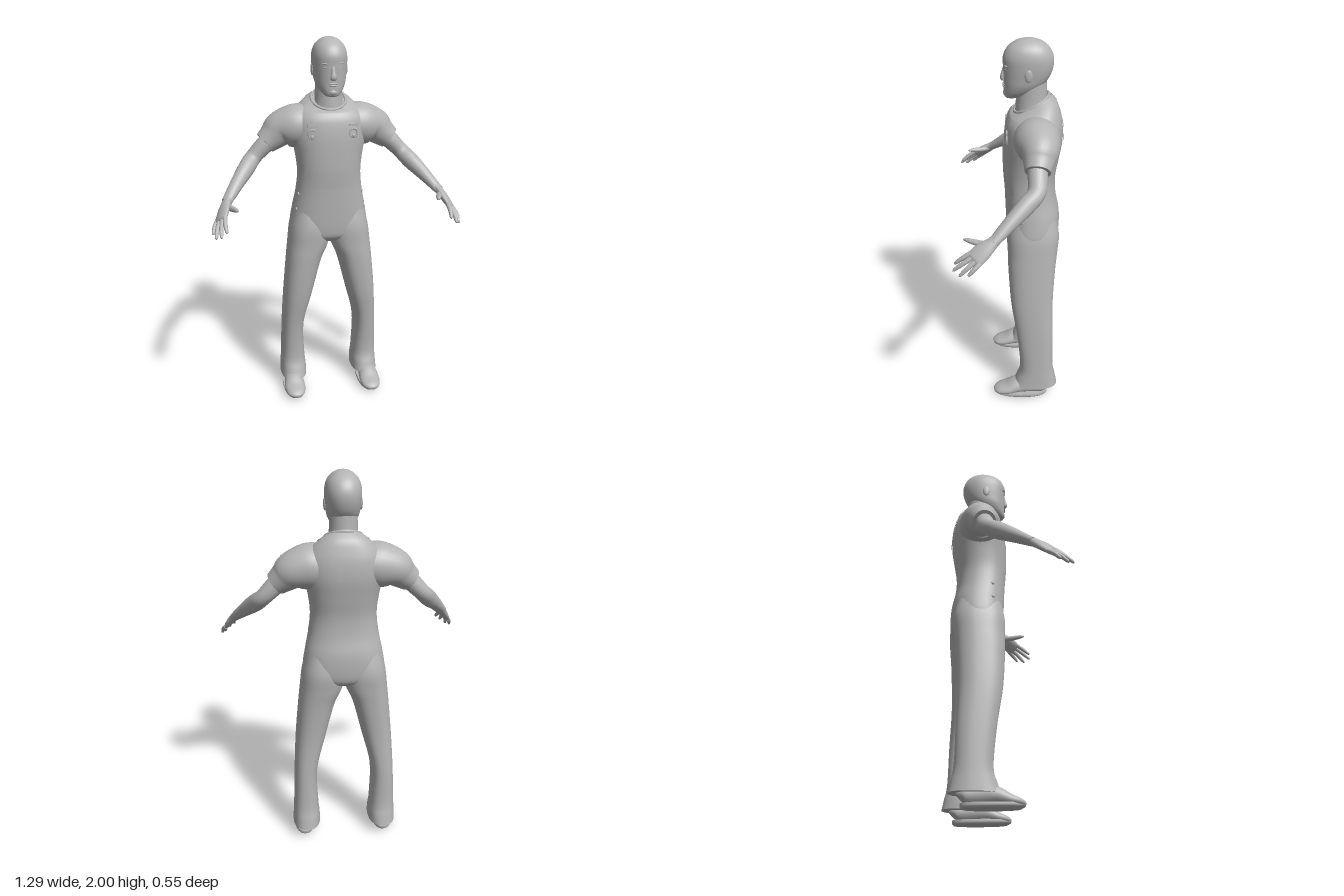
import * as THREE from 'three';

const V = (x, y, z) => new THREE.Vector3(x, y, z);
const clay = new THREE.MeshStandardMaterial({ color: 0xb4b4b4, side: THREE.DoubleSide });
clay.name = 'clayGray';

// Resample a list of cross-sections with a Catmull-Rom spline, number by number
function resample(rows, steps) {
  const out = [], n = rows.length, at = i => rows[Math.max(0, Math.min(n - 1, i))];
  for (let i = 0; i < n - 1; i++) {
    for (let k = 0; k < steps; k++) {
      const t = k / steps;
      out.push(rows[i].map((b, c) => {
        const a = at(i - 1)[c], d = at(i + 1)[c], e = at(i + 2)[c];
        return b + 0.5 * t * (d - a + t * (2 * a - 5 * b + 4 * d - e + t * (3 * (b - d) + e - a)));
      }));
    }
  }
  out.push(rows[n - 1]);
  return out;
}

// Skin closed rings of points, with flat end caps
function skin(rings) {
  const n = rings[0].length, last = rings.length - 1, pos = [], idx = [];
  const put = p => { pos.push(p.x, p.y, p.z); return pos.length / 3 - 1; };
  rings.forEach(r => r.forEach(put));
  for (let i = 0; i < last; i++) {
    for (let j = 0; j < n; j++) {
      const a = i * n + j, b = i * n + (j + 1) % n;
      idx.push(a, a + n, b, b, a + n, b + n);
    }
  }
  [0, last].forEach(i => {
    const ids = rings[i].map(put);
    const mid = put(rings[i].reduce((s, p) => s.add(p), V(0, 0, 0)).divideScalar(n));
    ids.forEach((a, j) => {
      const b = ids[(j + 1) % n];
      if (i) idx.push(mid, b, a); else idx.push(mid, a, b);
    });
  });
  return finish(pos, idx);
}

function finish(pos, idx) {
  const g = new THREE.BufferGeometry();
  g.setAttribute('position', new THREE.Float32BufferAttribute(pos, 3));
  g.setIndex(idx);
  g.computeVertexNormals();
  return g;
}

// Level rings: [y, xMin, xMax, zFront, zBack, forward dip]
function stack(rows, e = 2.3, n = 40, steps = 5) {
  const pw = v => Math.sign(v) * Math.abs(v) ** (2 / e);
  return skin(resample(rows, steps).map(([y, x0, x1, zf, zb, dip = 0]) =>
    Array.from({ length: n }, (_, j) => {
      const a = j / n * 2 * Math.PI, c = pw(Math.cos(a)), s = pw(Math.sin(a));
      return V((x0 + x1) / 2 + (x1 - x0) / 2 * c, y - dip * s, (zf + zb) / 2 + (zf - zb) / 2 * s);
    })));
}

// Rings along a path: [x, y, z, radius along ref, radius across]
function limb(rows, ref = V(0, 1, 0), n = 24, steps = 5) {
  const r = resample(rows, steps), pt = i => V(...r[Math.max(0, Math.min(r.length - 1, i))].slice(0, 3));
  return skin(r.map((s, i) => {
    const T = pt(i + 1).sub(pt(i - 1)).normalize();
    const u = ref.clone().addScaledVector(T, -ref.dot(T)).normalize(), v = u.clone().cross(T);
    return Array.from({ length: n }, (_, j) => {
      const a = j / n * 2 * Math.PI;
      return pt(i).addScaledVector(u, Math.cos(a) * s[3]).addScaledVector(v, Math.sin(a) * s[4]);
    });
  }));
}

function mirror(g) {
  const m = g.clone().scale(-1, 1, 1), ix = m.index.array;
  for (let i = 0; i < ix.length; i += 3) [ix[i], ix[i + 1]] = [ix[i + 1], ix[i]];
  return m;
}

const ball = (x, y, z, a, b, c) => new THREE.SphereGeometry(1, 20, 14).scale(a, b, c).translate(x, y, z);

export function createModel() {
  const root = new THREE.Group();
  root.name = 'workerInOveralls';
  const add = (name, g) => {
    const m = new THREE.Mesh(g, clay);
    m.name = name;
    root.add(m);
    return m;
  };
  const pair = (name, g) => [add(name + 'Left', g), add(name + 'Right', mirror(g))];

  // Torso and hips
  const body = [
    [0.92, 0.12, -0.03, -0.21], [0.95, 0.185, 0.0, -0.25], [1.0, 0.214, 0.01, -0.265],
    [1.1, 0.2, 0.016, -0.265], [1.2, 0.18, 0.02, -0.245], [1.3, 0.17, 0.025, -0.24],
    [1.4, 0.18, 0.027, -0.255], [1.5, 0.2, 0.025, -0.27], [1.58, 0.2, 0.015, -0.268],
    [1.63, 0.175, 0.0, -0.255, 0.012], [1.662, 0.135, -0.01, -0.235, 0.032], [1.685, 0.09, -0.03, -0.195, 0.044],
  ].map(([y, rx, f, b, d = 0]) => [y, -rx, rx, f, b, d]);
  const torso = add('torso', stack(body, 2.4));

  // Trouser legs
  pair('trouserLeg', stack([
    [0.07, 0.137, 0.287, -0.02, -0.27], [0.12, 0.138, 0.284, -0.04, -0.26], [0.2, 0.145, 0.28, -0.06, -0.245],
    [0.4, 0.148, 0.272, -0.042, -0.24], [0.6, 0.1, 0.26, -0.01, -0.235], [0.8, 0.048, 0.241, 0.005, -0.245],
    [0.9, 0.006, 0.23, 0.008, -0.255], [1.0, -0.005, 0.217, 0.009, -0.262], [1.1, 0.02, 0.19, -0.01, -0.24],
  ], 2.4));

  // Shoes with soles
  pair('shoe', limb([
    [0.22, 0.045, -0.212, 0.025, 0.025], [0.22, 0.055, -0.195, 0.042, 0.042], [0.22, 0.062, -0.12, 0.05, 0.046],
    [0.221, 0.06, -0.05, 0.046, 0.053], [0.222, 0.042, 0.01, 0.032, 0.058], [0.222, 0.032, 0.06, 0.022, 0.048],
    [0.222, 0.028, 0.084, 0.012, 0.026], [0.222, 0.027, 0.09, 0.003, 0.008],
  ]));
  pair('shoeSole', stack([
    [0.002, 0.168, 0.274, 0.07, -0.205, -0.004], [0.012, 0.162, 0.281, 0.087, -0.213, -0.005],
    [0.026, 0.162, 0.281, 0.09, -0.215, -0.004],
  ], 2.4));

  // Short sleeves and arms
  const sleeves = pair('sleeve', limb([
    [0.08, 1.55, -0.13, 0.1, 0.11], [0.17, 1.545, -0.133, 0.115, 0.115], [0.25, 1.527, -0.14, 0.097, 0.096],
    [0.295, 1.493, -0.134, 0.076, 0.076], [0.337, 1.46, -0.127, 0.061, 0.062],
  ], V(0, 1, 0), 32));
  pair('arm', limb([
    [0.27, 1.51, -0.13, 0.05, 0.05], [0.335, 1.455, -0.127, 0.048, 0.048], [0.402, 1.388, -0.12, 0.042, 0.045],
    [0.445, 1.342, -0.07, 0.045, 0.043], [0.497, 1.287, -0.002, 0.036, 0.036], [0.56, 1.215, 0.085, 0.022, 0.028],
  ]));

  // Hands: palm, thumb and four fingers
  const back = V(0.74, 0.64, 0.19);
  pair('palm', limb([
    [0.55, 1.228, 0.07, 0.022, 0.027], [0.562, 1.212, 0.09, 0.021, 0.03], [0.578, 1.185, 0.128, 0.02, 0.042],
    [0.595, 1.153, 0.167, 0.016, 0.044], [0.6, 1.145, 0.178, 0.008, 0.038],
  ], back));
  pair('thumb', limb([
    [0.562, 1.2, 0.1, 0.015, 0.018], [0.54, 1.2, 0.15, 0.014, 0.015], [0.52, 1.205, 0.2, 0.011, 0.011],
    [0.512, 1.206, 0.222, 0.004, 0.004],
  ], back, 14));
  const tips = [[0.572, 1.112, 0.265], [0.6, 1.09, 0.272], [0.625, 1.076, 0.242], [0.638, 1.085, 0.2]];
  tips.forEach((tip, i) => {
    const k = (i - 1.5) * 0.022, a = V(0.594 + 0.57 * k, 1.154 - 0.46 * k, 0.166 - 0.68 * k), b = V(...tip);
    const at = (t, r) => [...a.clone().lerp(b, t).addScaledVector(back, 0.02 * t * (1 - t)).toArray(), r, r];
    pair('finger' + (i + 1), limb([at(0, 0.012), at(0.5, 0.011), at(0.9, 0.008), at(1, 0.003)], back, 14));
  });

  // Neck and head
  add('neck', stack([
    [1.62, -0.085, 0.085, -0.03, -0.2], [1.7, -0.072, 0.072, -0.035, -0.19], [1.82, -0.068, 0.068, -0.04, -0.185],
  ], 2));
  add('head', stack([
    [1.713, 0.028, 0.014, -0.04], [1.722, 0.042, 0.022, -0.07], [1.745, 0.062, 0.024, -0.125],
    [1.78, 0.078, 0.024, -0.17], [1.82, 0.085, 0.026, -0.2], [1.87, 0.09, 0.028, -0.216],
    [1.915, 0.089, 0.028, -0.215], [1.955, 0.077, 0.009, -0.196], [1.983, 0.052, -0.025, -0.163],
    [1.996, 0.027, -0.058, -0.13], [2.0, 0.008, -0.085, -0.105],
  ].map(([y, r, f, b]) => [y, -r, r, f, b]), 2.2));
  add('nose', limb([
    [0, 1.872, 0.022, 0.004, 0.009], [0, 1.84, 0.027, 0.008, 0.01], [0, 1.812, 0.03, 0.012, 0.016],
    [0, 1.799, 0.026, 0.01, 0.014],
  ], V(0, 0, 1), 18));
  add('upperLip', ball(0, 1.78, 0.022, 0.024, 0.005, 0.009));
  add('lowerLip', ball(0, 1.769, 0.021, 0.021, 0.006, 0.009));
  add('chin', ball(0, 1.735, 0.01, 0.026, 0.018, 0.018));
  pair('brow', ball(0.034, 1.878, 0.017, 0.023, 0.005, 0.009).rotateY(0.1));
  pair('eye', ball(0.034, 1.858, 0.014, 0.014, 0.006, 0.01).rotateY(0.1));
  pair('ear', ball(0.088, 1.84, -0.092, 0.008, 0.032, 0.019));

  // Shirt collar
  const rim = Array.from({ length: 24 }, (_, i) => {
    const a = i / 24 * 2 * Math.PI;
    return V(0.09 * Math.cos(a), 1.685 - 0.044 * Math.sin(a), -0.1125 + 0.084 * Math.sin(a));
  });
  add('collar', new THREE.TubeGeometry(new THREE.CatmullRomCurve3(rim, true), 60, 0.008, 8, true));

  // Cloth draped on the torso: find the surface along rays and lift slightly
  const ray = new THREE.Raycaster();
  const land = (from, dir, lift) => {
    ray.set(from, dir.clone().normalize());
    const hit = ray.intersectObjects([torso, ...sleeves])[0];
    return (hit ? hit.point : from.clone().add(dir)).addScaledVector(ray.ray.direction, -lift);
  };
  const drape = (rows, cols, fn) => {
    const pos = [], idx = [], w = cols + 1;
    for (let i = 0; i <= rows; i++) for (let j = 0; j <= cols; j++) pos.push(...fn(j / cols, i / rows).toArray());
    for (let i = 0; i < rows; i++) for (let j = 0; j < cols; j++) {
      const a = i * w + j;
      idx.push(a, a + 1, a + w + 1, a, a + w + 1, a + w);
    }
    return finish(pos, idx);
  };
  root.updateMatrixWorld(true);
  add('bib', drape(16, 20, (u, v) =>
    land(V((2 * u - 1) * (0.15 - 0.028 * v), 1.18 + 0.3 * v, 1), V(0, 0, -1), -0.002 + 0.006 * Math.min(1, 2 * v))));
  pair('strap', drape(40, 4, (u, v) => {
    const a = 0.1 + v * (Math.PI - 0.1), x = 0.108 - 0.085 * Math.max(0, (v - 0.5) * 2) + (u - 0.5) * 0.036;
    const d = V(0, Math.sin(a), Math.cos(a));
    return land(V(x, 1.5, -0.125).add(d), d.clone().negate(), 0.004);
  }));

  // Strap buckles and hip buttons
  const chest = land(V(0.108, 1.54, 1), V(0, 0, -1), 0.006).z;
  pair('buckleLoop', new THREE.TorusGeometry(0.02, 0.004, 8, 24).scale(1, 1.15, 1).translate(0.108, 1.525, chest));
  pair('buckleBar', new THREE.BoxGeometry(0.046, 0.009, 0.008).translate(0.108, 1.568, chest));
  pair('buckleStud', ball(0.108, 1.512, chest, 0.009, 0.009, 0.006));
  [1.19, 1.105].forEach((y, i) => {
    const p = land(V(1, y, -0.062), V(-1, 0, 0), 0);
    pair('hipButton' + (i + 1), ball(p.x, p.y, p.z, 0.006, 0.01, 0.01));
  });
  return root;
}
